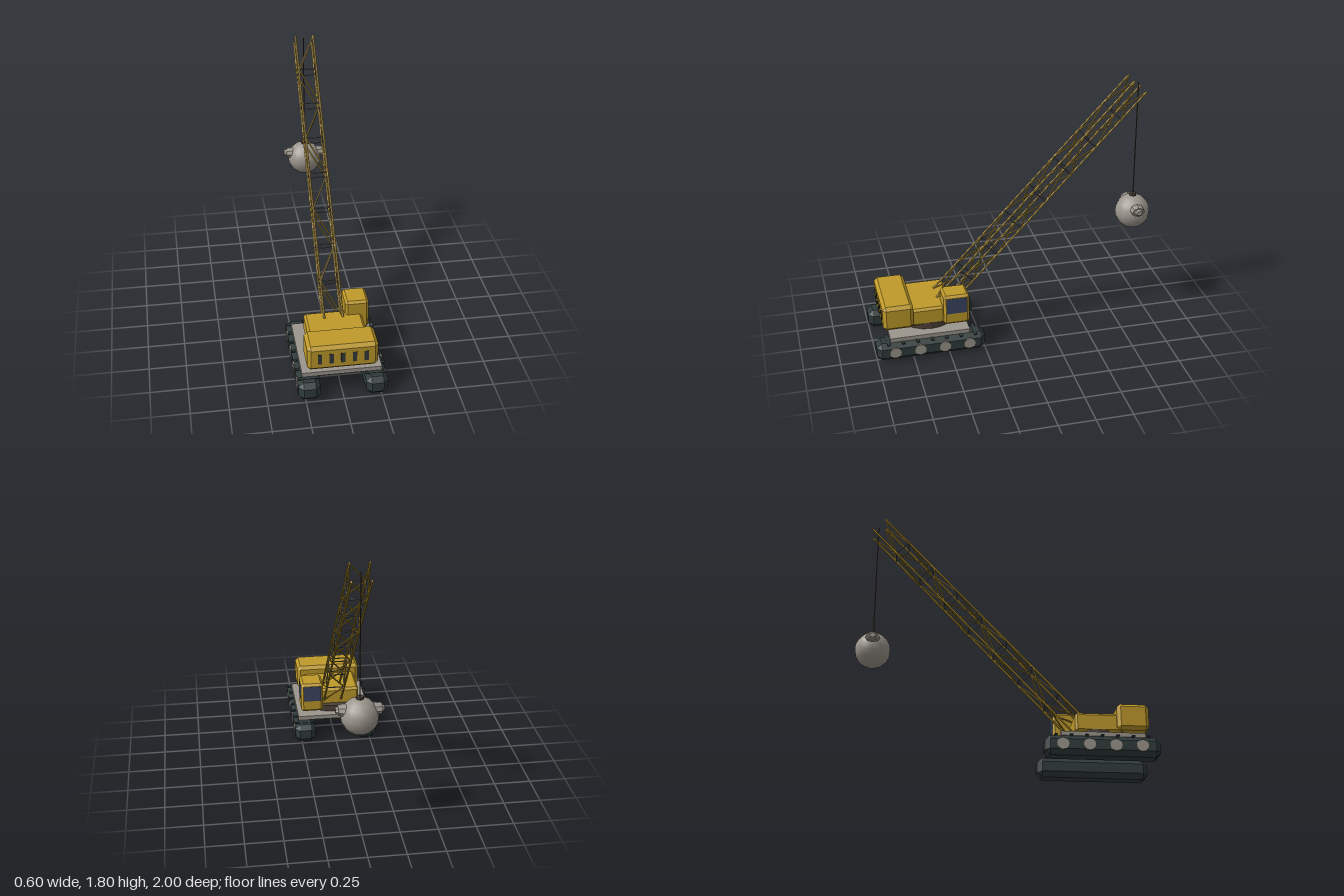
import * as THREE from 'three';
import { ConvexGeometry } from 'three/addons/geometries/ConvexGeometry.js';

const mat = (color, flatShading = true) => new THREE.MeshStandardMaterial({ color, flatShading });
const YELLOW = mat(0xbf9a2a), TRACK = mat(0x303b3b), STONE = mat(0x9c968d), BALL = mat(0x9c968d, false);
const BROWN = mat(0x4c4036), GLASS = mat(0x3d4663), STEEL = mat(0x6c6c6c), VENT = mat(0x35393a);

function add(parent, name, geometry, material, x = 0, y = 0, z = 0) {
  const mesh = new THREE.Mesh(geometry, material);
  mesh.name = name;
  mesh.position.set(x, y, z);
  parent.add(mesh);
  return mesh;
}

// Box with every edge and corner bevelled by c
function bevelBox(w, h, d, c) {
  const pts = [];
  for (const x of [-1, 1]) for (const y of [-1, 1]) for (const z of [-1, 1]) {
    for (let k = 0; k < 3; k++) {
      const inset = [c, c, c];
      inset[k] = 0;
      pts.push(new THREE.Vector3(x * (w / 2 - inset[0]), y * (h / 2 - inset[1]), z * (d / 2 - inset[2])));
    }
  }
  return new ConvexGeometry(pts);
}

// Straight bar between two points
function bar(parent, name, a, b, radius, material) {
  const dir = b.clone().sub(a);
  const mesh = add(parent, name, new THREE.CylinderGeometry(radius, radius, dir.length(), 6), material);
  mesh.position.copy(a).add(b).multiplyScalar(0.5);
  mesh.quaternion.setFromUnitVectors(new THREE.Vector3(0, 1, 0), dir.normalize());
}

function createTrack(side) {
  const track = new THREE.Group();
  track.name = side > 0 ? 'leftTrack' : 'rightTrack';
  add(track, 'trackBelt', bevelBox(0.145, 0.132, 0.75, 0.033), TRACK, side * 0.223, 0.066, 0.625);
  // Road wheels on the outer face
  const wheel = new THREE.CylinderGeometry(0.04, 0.04, 0.02, 12).rotateZ(Math.PI / 2);
  for (let i = 0; i < 4; i++) add(track, 'roadWheel', wheel, STONE, side * 0.29, 0.067, 0.363 + i * 0.171);
  // Cleats across the top of the belt
  const cleat = new THREE.BoxGeometry(0.148, 0.006, 0.02);
  for (let i = 0; i < 7; i++) add(track, 'trackCleat', cleat, TRACK, side * 0.224, 0.132, 0.32 + i * 0.1);
  return track;
}

function createHouse() {
  const house = new THREE.Group();
  house.name = 'house';
  add(house, 'deckPlate', new THREE.BoxGeometry(0.53, 0.03, 0.55), STONE, 0, 0.148, 0.63);
  add(house, 'turntable', new THREE.CylinderGeometry(0.2, 0.2, 0.05, 20), BROWN, 0, 0.183, 0.61);
  add(house, 'engineHouse', bevelBox(0.39, 0.13, 0.32, 0.016), YELLOW, 0, 0.257, 0.62);
  add(house, 'counterweight', bevelBox(0.465, 0.18, 0.21, 0.023), YELLOW, 0, 0.292, 0.838);
  for (let i = -2; i <= 2; i++) {
    add(house, 'vent', new THREE.BoxGeometry(0.028, 0.073, 0.008), VENT, i * 0.076, 0.292, 0.942);
  }
  // Operator cab with side and forward windows
  add(house, 'cab', bevelBox(0.16, 0.22, 0.178, 0.016), YELLOW, 0.163, 0.312, 0.438);
  add(house, 'sideWindow', new THREE.BoxGeometry(0.006, 0.115, 0.14), GLASS, 0.242, 0.345, 0.438);
  add(house, 'frontWindow', new THREE.BoxGeometry(0.125, 0.115, 0.006), GLASS, 0.163, 0.345, 0.35);
  return house;
}

function createBoom() {
  const boom = new THREE.Group();
  boom.name = 'boom';
  const bays = 8, halfWidth = 0.063;
  const start = [new THREE.Vector3(0, 0.325, 0.545), new THREE.Vector3(0, 0.24, 0.455)];
  const end = [new THREE.Vector3(0, 1.793, -0.832), new THREE.Vector3(0, 1.708, -0.918)];
  // Node on the upper (0) or lower (1) chord
  const node = (chord, side, i) => {
    const p = start[chord].clone().lerp(end[chord], i / bays);
    p.x = side * halfWidth;
    return p;
  };
  for (const chord of [0, 1]) for (const side of [-1, 1]) {
    bar(boom, 'chord', node(chord, side, 0), node(chord, side, bays), 0.0075, YELLOW);
  }
  for (let i = 0; i < bays; i++) {
    const odd = i % 2;
    // Zigzag lacing on all four faces
    for (const side of [-1, 1]) {
      bar(boom, 'sideLacing', node(1 - (1 - odd), side, i), node(1 - odd, side, i + 1), 0.005, YELLOW);
    }
    for (const chord of [0, 1]) {
      bar(boom, 'faceLacing', node(chord, odd ? -1 : 1, i), node(chord, odd ? 1 : -1, i + 1), 0.005, YELLOW);
    }
    if (i === 0) continue;
    // Square frame at each joint
    for (const side of [-1, 1]) bar(boom, 'frameStrut', node(0, side, i), node(1, side, i), 0.004, STEEL);
    for (const chord of [0, 1]) bar(boom, 'frameRung', node(chord, -1, i), node(chord, 1, i), 0.004, STEEL);
  }
  return boom;
}

function createWreckingBall() {
  const ball = new THREE.Group();
  ball.name = 'wreckingBall';
  ball.position.set(0, 0.8, -0.88);
  add(ball, 'ballBody', new THREE.SphereGeometry(0.122, 14, 10), BALL);
  add(ball, 'ballCap', new THREE.CylinderGeometry(0.024, 0.024, 0.03, 8), BROWN, 0, 0.12, 0);
  bar(ball, 'cable', new THREE.Vector3(0, 0.12, 0), new THREE.Vector3(0, 0.955, 0), 0.004, BROWN);
  // Stepped lugs on both sides
  for (const side of [-1, 1]) {
    const lug = new THREE.Group();
    lug.name = 'sideLug';
    lug.position.set(side * 0.112, 0.046, 0);
    lug.rotation.z = -side * Math.PI / 2;
    lug.scale.x = 0.75;
    add(lug, 'lugBase', new THREE.CylinderGeometry(0.044, 0.052, 0.05, 8), STONE);
    add(lug, 'lugCap', new THREE.CylinderGeometry(0.022, 0.034, 0.018, 8), STONE, 0, 0.033, 0);
    ball.add(lug);
  }
  return ball;
}

export function createModel() {
  const crane = new THREE.Group();
  crane.name = 'wreckingCrane';
  crane.add(createTrack(1), createTrack(-1), createHouse(), createBoom(), createWreckingBall());
  return crane;
}
